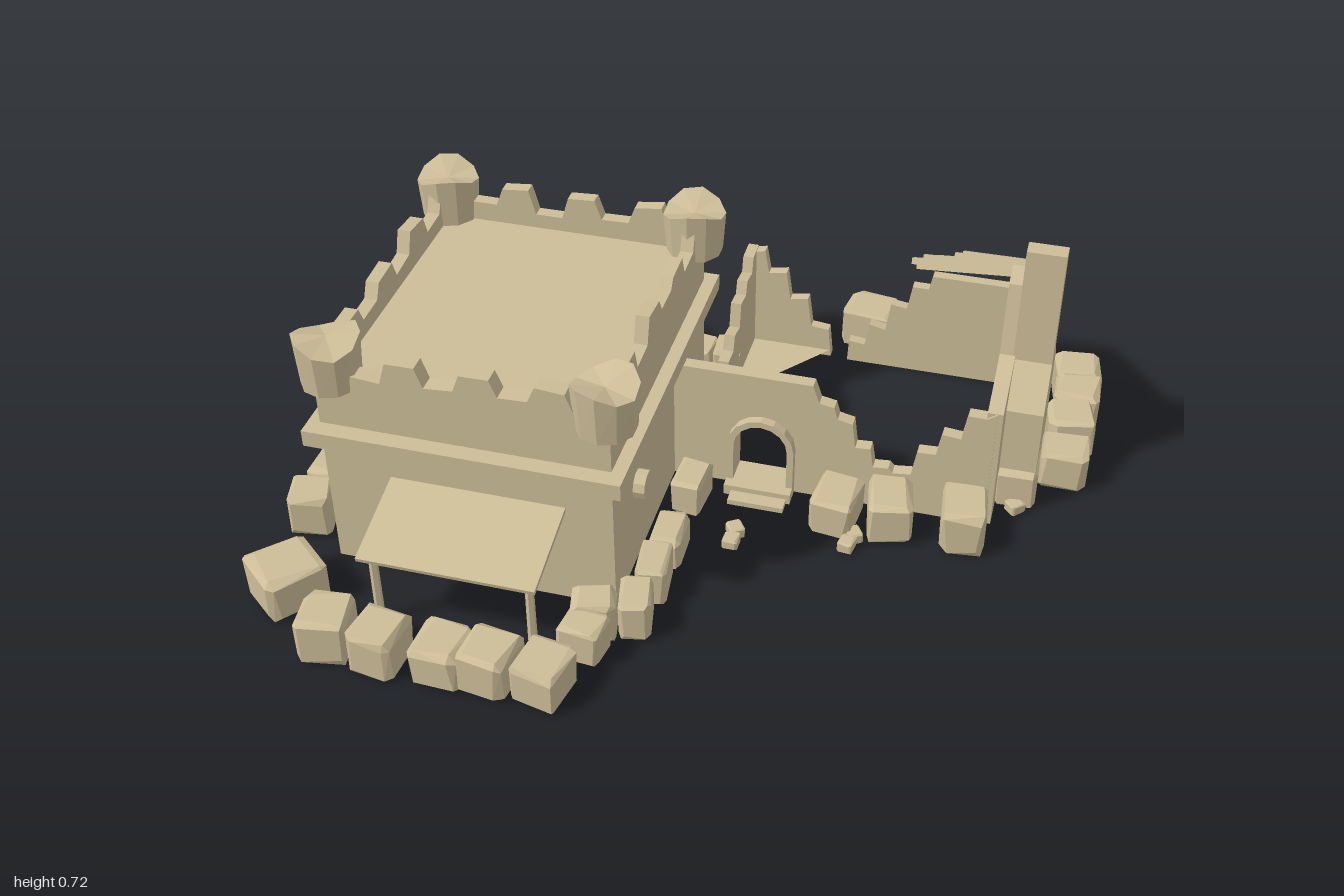
import * as THREE from 'three';
import { ConvexGeometry } from 'three/addons/geometries/ConvexGeometry.js';

export function createModel() {
  const root = new THREE.Group();
  root.name = 'ruinedOutpost';
  const sandstone = new THREE.MeshStandardMaterial({ color: 0xcdbd98, side: THREE.DoubleSide, flatShading: true });
  sandstone.name = 'sandstone';

  let seed = 7;
  const rnd = () => (seed = (seed * 16807) % 2147483647) / 2147483647;
  const vary = (a) => (rnd() - 0.5) * 2 * a;

  const add = (name, geo, x = 0, y = 0, z = 0) => {
    const m = new THREE.Mesh(geo, sandstone);
    m.name = name;
    m.position.set(x, y, z);
    root.add(m);
    return m;
  };
  // Box given by its lower and upper limits
  const block = (name, x0, x1, y0, y1, z0, z1) =>
    add(name, new THREE.BoxGeometry(x1 - x0, y1 - y0, z1 - z0), (x0 + x1) / 2, (y0 + y1) / 2, (z0 + z1) / 2);

  const slab = (pts, depth) => new THREE.ExtrudeGeometry(
    new THREE.Shape(pts.map(([a, b]) => new THREE.Vector2(a, b))), { depth, bevelEnabled: false });
  // Wall facing z: outline in (x, y), from z to z + depth
  const wallZ = (name, pts, z, depth) => add(name, slab(pts, depth), 0, 0, z);
  // Wall facing x: outline in (z, y), from xMax inwards
  const wallX = (name, pts, xMax, depth) => add(name, slab(pts, depth).rotateY(-Math.PI / 2), xMax);

  // Round-headed opening, from its left foot to its right foot
  const arch = (cx, r, spring) => {
    const pts = [[cx - r, 0]];
    for (let i = 0; i <= 8; i++) {
      const a = Math.PI * (1 - i / 8);
      pts.push([cx + r * Math.cos(a), spring + r * Math.sin(a)]);
    }
    return [...pts, [cx + r, 0]];
  };
  const archFrame = (name, cx, r, spring, z, depth) =>
    wallZ(name, [...arch(cx, r + 0.018, spring), ...arch(cx, r, spring).reverse()], z, depth);

  // Broken wall top: uneven steps from height h0 at a to height h1 at b
  const brokenSteps = (a, b, h0, h1, n) => {
    const pts = [];
    for (let i = 0; i < n; i++) {
      const h = h0 + (h1 - h0) * i / (n - 1) + vary(0.012);
      const at = (t) => a + (b - a) * (i + t) / n;
      pts.push([at(0.05), h], [at(0.85), h + vary(0.012)]);
    }
    return pts;
  };
  // Broken parapet: alternating uneven teeth
  const parapetWall = (a, b, doorway = []) => {
    const teeth = brokenSteps(a, b, 0.612, 0.612, 8).map(([p, h], i) => [p, h + (i % 4 < 2 ? 0.022 : -0.022)]);
    return [[a, 0], [a, 0.62], ...teeth, [b, 0.62], [b, 0], ...doorway];
  };

  // ---- Main building ----
  const X0 = -0.82, X1 = -0.08, Z0 = -0.37, Z1 = 0.475, doorX = -0.52;
  wallZ('frontWall', parapetWall(X0, X1, arch(doorX, 0.08, 0.13).reverse()), Z1 - 0.045, 0.045);
  wallZ('backWall', parapetWall(X0, X1), Z0, 0.035);
  wallX('leftWall', parapetWall(Z0, Z1), X1, 0.035);
  wallX('rightWall', parapetWall(Z0, Z1), X0 + 0.035, 0.035);
  block('flatRoof', X0 + 0.01, X1 - 0.01, 0.52, 0.54, Z0 + 0.01, Z1 - 0.01);
  archFrame('houseDoorFrame', doorX, 0.08, 0.13, Z1 - 0.05, 0.065);

  // Ledge around the walls
  block('frontLedge', -0.85, -0.045, 0.385, 0.43, Z1 - 0.01, 0.52);
  block('backLedge', -0.85, -0.045, 0.385, 0.43, -0.4, Z0 + 0.01);
  block('rightLedge', -0.85, X0 + 0.01, 0.385, 0.43, -0.4, 0.52);
  block('leftLedge', X1 - 0.01, -0.045, 0.385, 0.43, -0.4, 0.52);

  // Corner turrets with uneven rims
  for (const x of [-0.79, -0.1]) for (const z of [-0.35, 0.44]) {
    const geo = new THREE.CylinderGeometry(0.083, 0.075, 0.125, 10);
    const p = geo.attributes.position;
    const turn = rnd() * 6;
    for (let i = 0; i < p.count; i++) {
      if (p.getY(i) > 0) p.setY(i, p.getY(i) + 0.018 * Math.sin(Math.atan2(p.getZ(i), p.getX(i)) * 2 + turn));
    }
    add('turret', geo, x, 0.6, z);
  }

  // Awning on two posts
  add('awning', new THREE.BoxGeometry(0.45, 0.012, 0.245), -0.425, 0.257, 0.592).rotation.x = 0.25;
  for (const x of [-0.62, -0.225]) {
    add('awningPost', new THREE.CylinderGeometry(0.011, 0.012, 0.225, 6), x, 0.1125, 0.68);
  }
  block('awningBeam', -0.64, -0.21, 0.21, 0.225, 0.67, 0.69);

  // Round beam ends and the beam along the back
  const beam = (name, r, length, x, y, z) =>
    add(name, new THREE.CylinderGeometry(r, r, length, 10).rotateZ(Math.PI / 2), x, y, z);
  beam('beamEnd', 0.038, 0.05, X1 + 0.005, 0.24, 0.28);
  beam('beamEnd', 0.038, 0.05, X0 - 0.005, 0.24, -0.15);
  beam('beamEnd', 0.038, 0.05, X0 - 0.005, 0.3, 0.2);
  beam('backBeam', 0.02, 0.4, -0.5, 0.2, Z0 - 0.01);

  // ---- Ruined annex ----
  const gateX = 0.16;
  wallZ('gateWall', [[X1, 0], ...arch(gateX, 0.072, 0.145), [0.76, 0], [0.76, 0.36],
    ...brokenSteps(0.74, 0.5, 0.34, 0.12, 4), ...brokenSteps(0.5, 0.3, 0.13, 0.31, 4),
    [0.29, 0.36], [X1, 0.36]], -0.1, 0.035);
  archFrame('gateFrame', gateX, 0.072, 0.145, -0.12, 0.08);
  block('gateStepUpper', 0.07, 0.25, 0, 0.03, -0.12, -0.01);
  block('gateStepLower', 0.09, 0.24, 0, 0.015, -0.01, 0.03);

  // Standing corner behind the gate
  wallX('cornerSideWall', [[-0.37, 0], ...brokenSteps(-0.37, -0.725, 0.17, 0.33, 5), [-0.725, 0.33], [-0.725, 0]], -0.01, 0.03);
  wallZ('cornerBackWall', [[-0.04, 0], [-0.04, 0.33], ...brokenSteps(-0.04, 0.22, 0.33, 0.09, 4), [0.22, 0]], -0.725, 0.03);
  const floor = new THREE.BufferGeometry().setFromPoints([
    new THREE.Vector3(-0.02, 0.02, -0.7), new THREE.Vector3(-0.02, 0.02, -0.4), new THREE.Vector3(0.22, 0.02, -0.7)]);
  floor.computeVertexNormals();
  add('cornerFloor', floor);

  // Back wall and gable wall
  wallZ('annexBackWall', [[0.27, 0], ...brokenSteps(0.27, 0.5, 0.08, 0.28, 4), [0.5, 0.33], [0.77, 0.33], [0.77, 0]], -0.72, 0.03);
  wallX('gableWall', [[-0.07, 0], [-0.07, 0.36], [-0.17, 0.38], [-0.26, 0.41], [-0.3, 0.6], [-0.36, 0.62],
    [-0.72, 0.33], [-0.72, 0]], 0.775, 0.04);

  // Chimney with sloped shoulders
  wallX('chimney', [[-0.17, 0], [-0.17, 0.3], [-0.26, 0.4], [-0.27, 0.72], [-0.315, 0.72], [-0.32, 0.7],
    [-0.35, 0.7], [-0.355, 0.4], [-0.45, 0.31], [-0.45, 0]], 0.87, 0.1);

  // Overlapping roof planks with broken ends
  for (let i = 0; i < 7; i++) {
    const t = i / 6;
    const left = 0.6 - 0.13 * Math.min(1, t * 1.5) + vary(0.018), len = 0.8 - left;
    const plank = add('roofPlank', new THREE.BoxGeometry(len, 0.018, 0.08), left + len / 2, 0.615 - 0.255 * t, -0.385 - 0.325 * t);
    plank.rotation.set(-0.55, 0, vary(0.04) + 0.03);
  }

  // ---- Boulders: blocks with chipped corners ----
  const boulder = (name, x, z, w, d, h, turn) => {
    const pts = [];
    const chip = () => 0.62 + rnd() * 0.3;
    for (const sx of [-1, 1]) for (const sy of [-1, 1]) for (const sz of [-1, 1]) {
      for (let face = 0; face < 3; face++) {
        const [a, b, c] = [0, 1, 2].map((axis) => (axis === face ? 1 : chip()));
        pts.push(new THREE.Vector3(sx * a * w / 2, (sy * b + 1) * h / 2, sz * c * d / 2));
      }
    }
    add(name, new ConvexGeometry(pts), x, 0, z).rotation.y = turn;
  };
  const bigBoulder = (x, z, w, d) => boulder('boulder', x, z, w, d, 0.09 + Math.min(w, d) * 0.2 + vary(0.012), vary(0.25));
  // Rows running along z at one x, and along x at one z
  const rowAlongZ = (x, zs, w, d) => zs.forEach((z) => bigBoulder(x + vary(0.012), z, w, d));
  const rowAlongX = (z, xs, w, d) => xs.forEach((x) => bigBoulder(x, z + vary(0.012), w, d));

  rowAlongZ(-0.93, [-0.44, -0.36, 0.26, 0.38], 0.11, 0.11);
  rowAlongZ(-0.905, [-0.19, 0.04], 0.12, 0.16);
  rowAlongZ(-0.01, [0.04, 0.26, 0.39, 0.52], 0.08, 0.13);
  rowAlongZ(-0.115, [0.57, 0.65], 0.11, 0.09);
  rowAlongZ(0.93, [-0.68, -0.57, -0.45, -0.31], 0.125, 0.125);
  rowAlongX(0.79, [-0.71, -0.57, -0.41, -0.29, -0.16], 0.125, 0.135);
  rowAlongX(-0.44, [-0.65, -0.51, -0.31], 0.14, 0.1);
  rowAlongX(-0.535, [-0.13, -0.05], 0.08, 0.1);
  rowAlongX(-0.81, [0.32, 0.52, 0.73], 0.155, 0.13);
  rowAlongX(0.01, [0.38, 0.52, 0.71], 0.115, 0.15);
  bigBoulder(0.82, -0.22, 0.11, 0.14);
  boulder('boulder', -0.88, 0.65, 0.16, 0.16, 0.12, -0.7);

  // Scattered pebbles
  for (const [x, z] of [[0.14, 0.14], [0.14, 0.185], [0.44, 0.08], [0.43, 0.12], [0.88, -0.52], [0.83, -0.14],
    [-0.26, -0.65], [-0.22, -0.6], [-0.03, -0.76]]) {
    boulder('pebble', x, z, 0.045, 0.04, 0.03, rnd() * 3);
  }

  return root;
}
